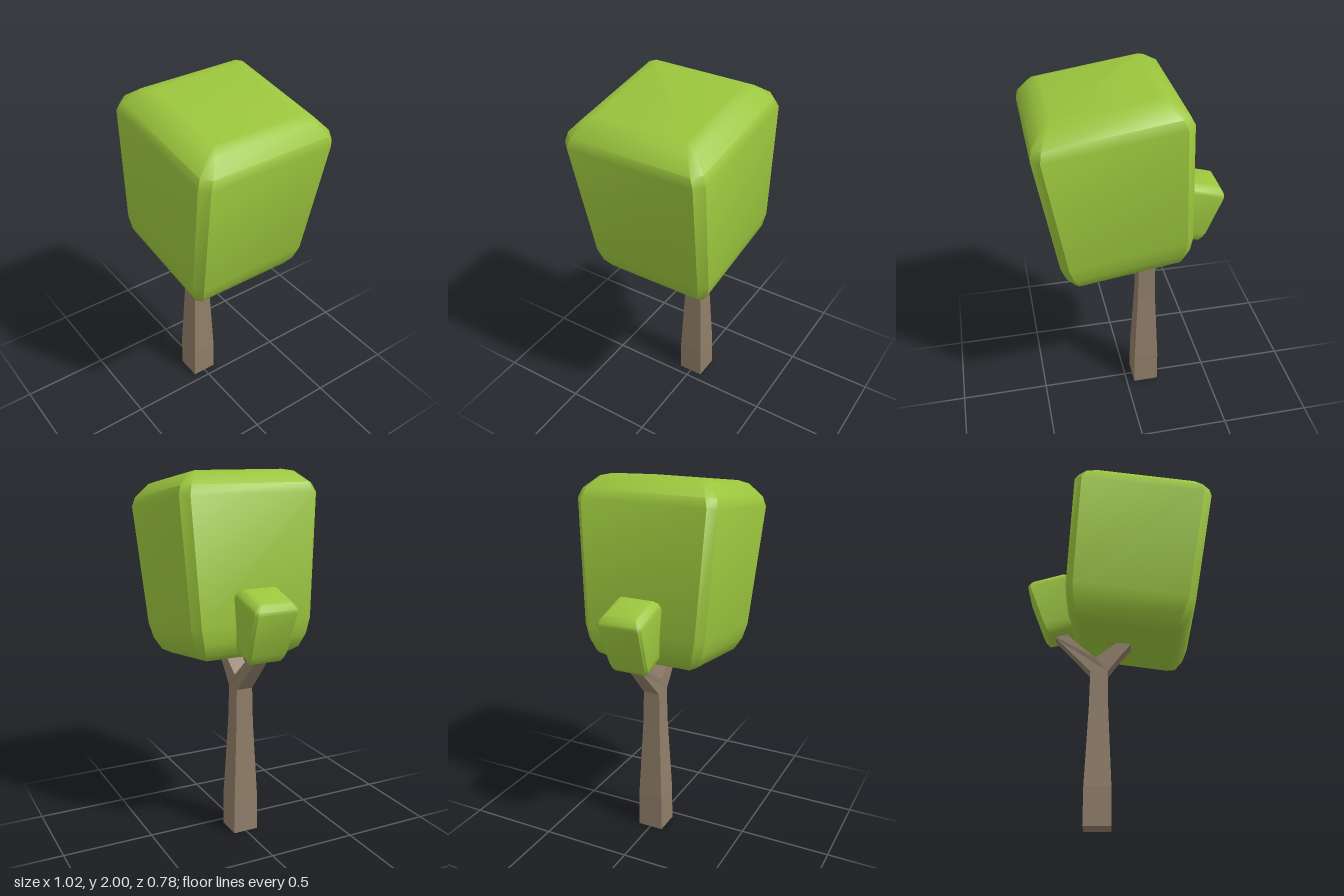
import * as THREE from 'three';
import { toCreasedNormals } from 'three/addons/utils/BufferGeometryUtils.js';

// Stack of square sections [y, half width, centre x, corner chamfer], closed at both ends
function loft(levels, crease) {
  const pos = [], idx = [];
  const n = levels[0][3] ? 8 : 4;
  for (const [y, h, cx, c] of levels) {
    const ring = n === 8
      ? [[h, -h + c], [h - c, -h], [-h + c, -h], [-h, -h + c], [-h, h - c], [-h + c, h], [h - c, h], [h, h - c]]
      : [[h, -h], [-h, -h], [-h, h], [h, h]];
    for (const [x, z] of ring) pos.push(x + cx, y, z);
  }
  const top = (levels.length - 1) * n;
  for (let l = 0; l < top; l += n) {
    for (let i = 0; i < n; i++) {
      const a = l + i, b = l + (i + 1) % n;
      idx.push(a, b, b + n, a, b + n, a + n);
    }
  }
  for (let i = 1; i < n - 1; i++) {
    idx.push(top, top + i, top + i + 1);
    idx.push(0, i + 1, i);
  }
  const g = new THREE.BufferGeometry();
  g.setAttribute('position', new THREE.Float32BufferAttribute(pos, 3));
  g.setIndex(idx);
  return toCreasedNormals(g, crease);
}

export function createModel() {
  const tree = new THREE.Group();
  tree.name = 'tree';
  const leaf = new THREE.MeshStandardMaterial({ color: 0x9bc53d });
  const bark = new THREE.MeshStandardMaterial({ color: 0x8f7d68 });

  const add = (name, geometry, material) => {
    const mesh = new THREE.Mesh(geometry, material);
    mesh.name = name;
    tree.add(mesh);
    return mesh;
  };

  // Square tapered trunk
  add('trunk', loft([
    [0, 0.072, 0, 0], [0.2, 0.071, 0, 0], [0.64, 0.051, 0, 0], [0.84, 0.047, 0, 0],
  ], 0.01), bark).position.x = -0.118;

  // Forked branches, cut as one Y-shaped slab
  const fork = new THREE.Shape([
    [-0.165, 0.84], [-0.071, 0.84], [0.0, 0.935], [0.09, 1.04], [0.03, 1.05],
    [-0.14, 0.92], [-0.29, 1.06], [-0.3, 1.09], [-0.38, 1.065], [-0.35, 1.035],
  ].map(([x, y]) => new THREE.Vector2(x, y)));
  const forkGeo = new THREE.ExtrudeGeometry(fork, { depth: 0.094, bevelEnabled: false });
  forkGeo.translate(0, 0, -0.047);
  const p = forkGeo.attributes.position;
  for (let i = 0; i < p.count; i++) {
    if (p.getX(i) < -0.2) p.setZ(i, p.getZ(i) * 0.75); // thinner tip
  }
  forkGeo.computeVertexNormals();
  add('branches', forkGeo, bark);

  // Rounded, tapered block of foliage, used large and small
  const foliage = loft([
    [-0.485, 0.25, -0.003, 0.005],
    [-0.462, 0.292, -0.004, 0.02],
    [-0.395, 0.33, -0.005, 0.038],
    [-0.31, 0.349, -0.006, 0.04],
    [0.35, 0.388, -0.026, 0.042],
    [0.4, 0.371, -0.025, 0.042],
    [0.466, 0.304, -0.022, 0.025],
    [0.481, 0.25, -0.02, 0.005],
  ], 0.65);

  const crown = add('crown', foliage, leaf);
  crown.position.set(0.1, 1.485, 0);
  crown.rotation.z = -0.14;

  const smallFoliage = add('smallFoliage', foliage, leaf);
  smallFoliage.position.set(-0.355, 1.233, 0);
  smallFoliage.rotation.z = 0.285;
  smallFoliage.scale.set(0.32, 0.36, 0.32);

  return tree;
}
